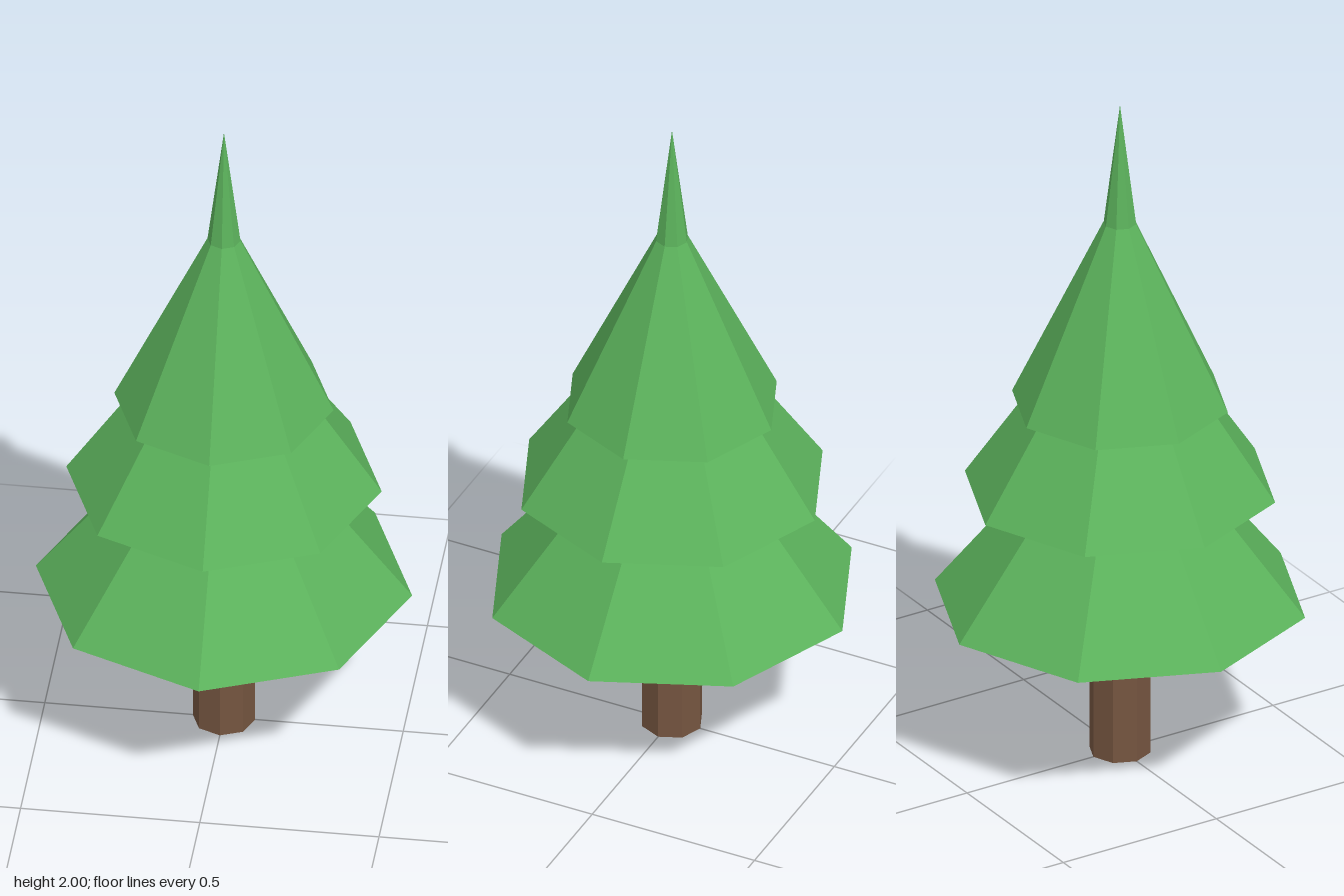
import * as THREE from 'three';

const SIDES = 8;

export function createModel() {
  const tree = new THREE.Group();
  tree.name = 'pineTree';

  const bark = new THREE.MeshStandardMaterial({ color: 0x755540, flatShading: true });
  const needles = new THREE.MeshStandardMaterial({ color: 0x5cb35c, flatShading: true });

  // Eight-sided tapered ring standing between two heights
  function addFrustum(name, material, bottomY, topY, bottomRadius, topRadius, open = false) {
    const geometry = new THREE.CylinderGeometry(topRadius, bottomRadius, topY - bottomY, SIDES, 1, open);
    const mesh = new THREE.Mesh(geometry, material);
    mesh.name = name;
    mesh.position.y = (bottomY + topY) / 2;
    tree.add(mesh);
  }

  // Trunk, running up to the underside of the foliage
  addFrustum('trunk', bark, 0, 0.467, 0.087, 0.087);

  // Foliage tiers, each with a flat underside overhanging the one below
  addFrustum('lowerFoliage', needles, 0.467, 0.815, 0.525, 0.25);
  addFrustum('middleFoliage', needles, 0.815, 1.08, 0.44, 0.262);
  addFrustum('upperFoliage', needles, 1.08, 1.635, 0.306, 0.046);

  // Slender pointed tip
  addFrustum('treeTip', needles, 1.635, 2, 0.046, 0, true);

  return tree;
}
